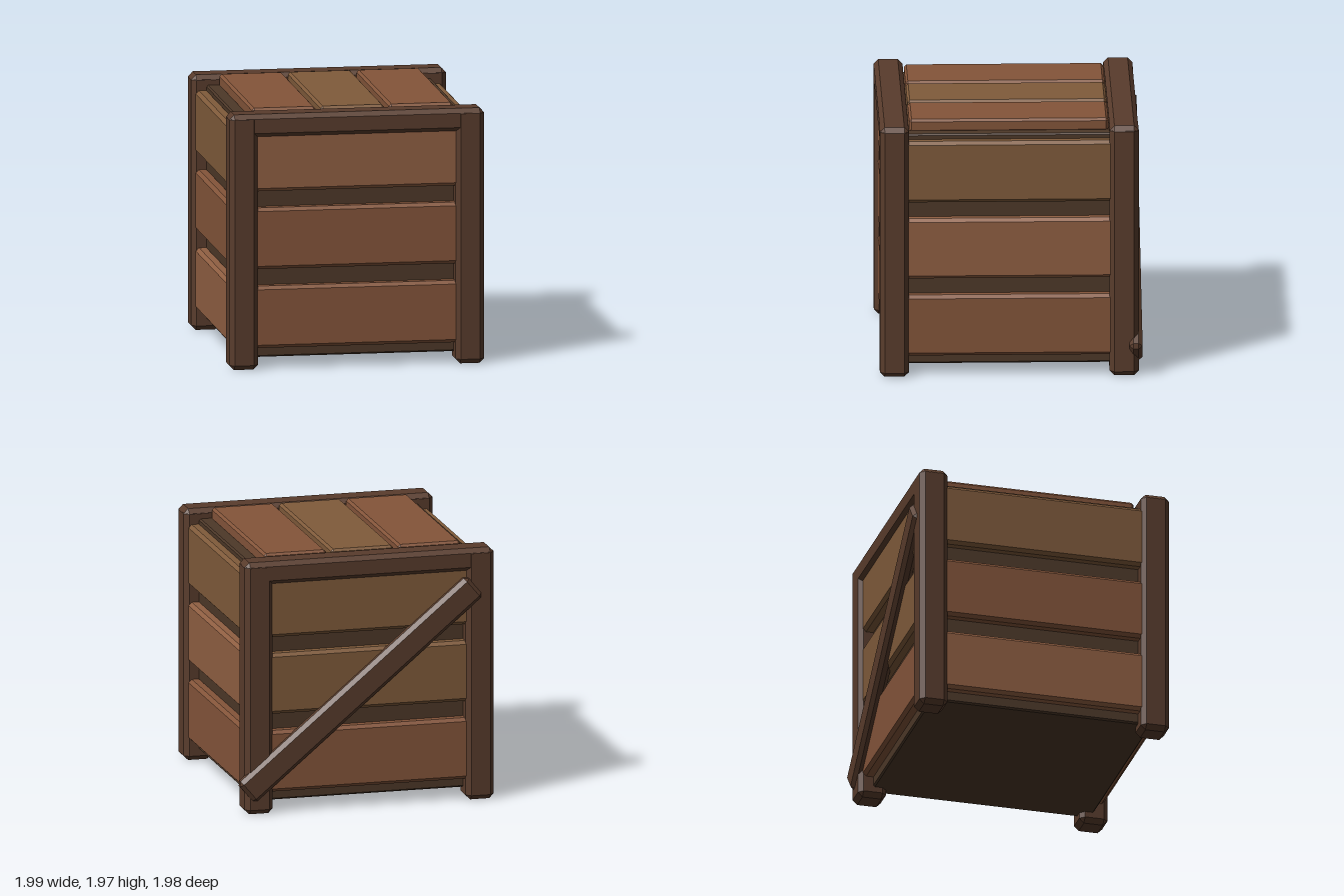
import * as THREE from 'three';
import { ConvexGeometry } from 'three/addons/geometries/ConvexGeometry.js';

const DARK = 0x593c2c, CORE = 0x4d3828;
const RED = 0x84553a, WARM = 0x905f42, TAN = 0x805b3b;

// Box with all edges and corners chamfered by b
function chamferBox(w, h, d, b) {
  const pts = [];
  const [x, y, z] = [w / 2, h / 2, d / 2];
  for (const i of [-1, 1]) for (const j of [-1, 1]) for (const k of [-1, 1]) {
    pts.push(
      new THREE.Vector3(i * x, j * (y - b), k * (z - b)),
      new THREE.Vector3(i * (x - b), j * y, k * (z - b)),
      new THREE.Vector3(i * (x - b), j * (y - b), k * z));
  }
  return new ConvexGeometry(pts);
}

// Chamfered beam given by its lower and upper corners
function beam(name, min, max, bevel, color) {
  const s = max.map((v, i) => v - min[i]);
  const mesh = new THREE.Mesh(
    chamferBox(s[0], s[1], s[2], bevel),
    new THREE.MeshStandardMaterial({ color, flatShading: true }));
  mesh.position.set(...max.map((v, i) => (v + min[i]) / 2));
  mesh.name = name;
  return mesh;
}

export function createModel() {
  const crate = new THREE.Group();
  crate.name = 'crate';

  // Frame of the crate without the brace, centred slightly off the origin
  const body = new THREE.Group();
  body.name = 'body';
  body.position.set(-0.025, 0, 0.0125);
  crate.add(body);
  const X = 0.975, Z = 0.9775, POST = 0.22;

  // Closed inner box
  body.add(beam('innerBox', [-0.862, 0.08, -0.865], [0.862, 1.88, 0.865], 0.012, CORE));

  // Corner posts
  for (const sx of [-1, 1]) for (const sz of [-1, 1]) {
    const cx = sx * (X - POST / 2), cz = sz * (Z - POST / 2), r = POST / 2;
    body.add(beam('cornerPost', [cx - r, 0, cz - r], [cx + r, 1.955, cz + r], 0.036, DARK));
  }

  // Top rails across front and back
  for (const sz of [-1, 1]) {
    const cz = sz * (Z - POST / 2), r = POST / 2 - 0.002;
    body.add(beam('topRail', [-X + 0.003, 1.78, cz - r], [X - 0.003, 1.957, cz + r], 0.034, DARK));
  }

  // Three boards on each of the four sides
  const rows = [[0.16, 0.635], [0.765, 1.235], [1.362, 1.84]];
  const colors = {
    front: [RED, RED, WARM], back: [RED, TAN, TAN],
    right: [RED, WARM, TAN], left: [WARM, RED, TAN],
  };
  rows.forEach(([y0, y1], i) => {
    body.add(
      beam('frontBoard', [-0.8, y0, 0.84], [0.8, y1, 0.947], 0.025, colors.front[i]),
      beam('backBoard', [-0.8, y0, -0.947], [0.8, y1, -0.84], 0.025, colors.back[i]),
      beam('rightBoard', [0.84, y0, -0.8], [0.945, y1, 0.8], 0.025, colors.right[i]),
      beam('leftBoard', [-0.945, y0, -0.8], [-0.84, y1, 0.8], 0.025, colors.left[i]));
  });

  // Lid boards
  [RED, TAN, RED].forEach((color, i) => {
    const cx = (i - 1) * 0.525;
    body.add(beam('lidBoard', [cx - 0.243, 1.865, -0.752], [cx + 0.243, 1.967, 0.752], 0.018, color));
  });

  // Diagonal brace nailed across the back
  const brace = beam('diagonalBrace', [-1.17, -0.105, -0.05], [1.17, 0.105, 0.05], 0.03, DARK);
  brace.position.set(0.05, 0.92, -0.942);
  brace.rotation.z = -THREE.MathUtils.degToRad(40);
  crate.add(brace);

  return crate;
}
